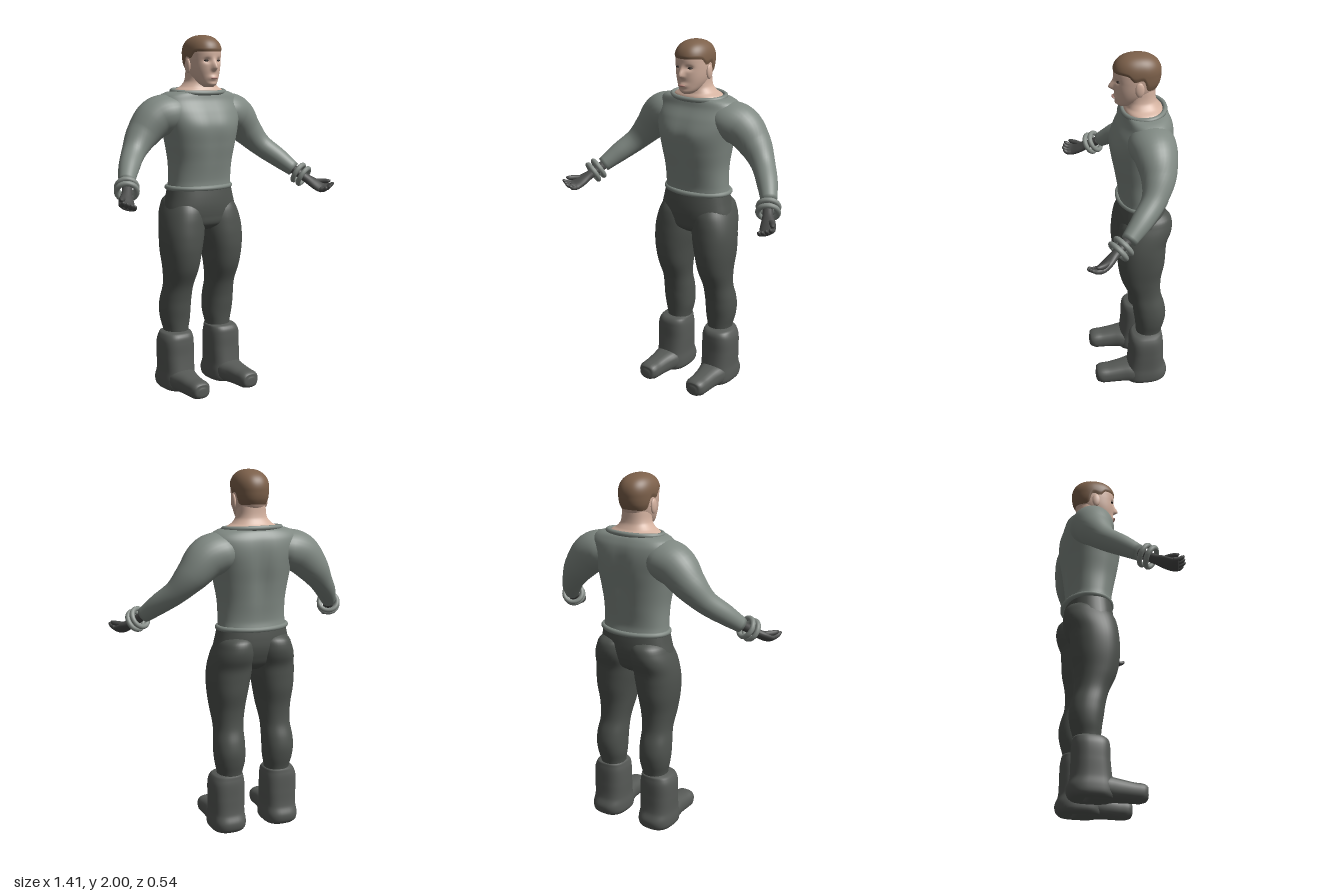
import * as THREE from 'three';

const mat = (name, color) => Object.assign(new THREE.MeshStandardMaterial({ color }), { name });
const V3 = (x, y, z) => new THREE.Vector3(x, y, z);
const bump = (d, w) => Math.exp(-((d / w) ** 2));

// Smooth lookup in a table whose first column is the key
function at(rows, k) {
  const n = rows.length - 1;
  k = Math.min(Math.max(k, rows[0][0]), rows[n][0]);
  let i = 0;
  while (i < n - 1 && k > rows[i + 1][0]) i++;
  const slope = (j, c) => {
    const a = rows[Math.max(j - 1, 0)], b = rows[Math.min(j + 1, n)];
    return (b[c] - a[c]) / (b[0] - a[0]);
  };
  const p = rows[i], q = rows[i + 1], h = q[0] - p[0], t = (k - p[0]) / h;
  return p.map((_, c) => c === 0 ? k :
    p[c] * (2 * t ** 3 - 3 * t * t + 1) + q[c] * (3 * t * t - 2 * t ** 3) +
    h * (slope(i, c) * (t ** 3 - 2 * t * t + t) + slope(i + 1, c) * (t ** 3 - t * t)));
}

// Closed skin from rings: fn(angle, v) gives a point; both ends are capped
function skinGeo(fn, seg, steps) {
  const pos = [], idx = [];
  const ends = [V3(0, 0, 0), V3(0, 0, 0)];
  for (let j = 0; j <= steps; j++) for (let i = 0; i < seg; i++) {
    const p = fn(i / seg * Math.PI * 2, j / steps);
    pos.push(p.x, p.y, p.z);
    if (j === 0) ends[0].addScaledVector(p, 1 / seg);
    if (j === steps) ends[1].addScaledVector(p, 1 / seg);
  }
  const c0 = seg * (steps + 1), top = seg * steps;
  ends.forEach(e => pos.push(e.x, e.y, e.z));
  for (let i = 0; i < seg; i++) {
    const k = (i + 1) % seg;
    for (let j = 0; j < steps; j++) {
      const a = j * seg + i, b = j * seg + k;
      idx.push(a, a + seg, b, b, a + seg, b + seg);
    }
    idx.push(c0, i, k, c0 + 1, top + k, top + i);
  }
  const g = new THREE.BufferGeometry();
  g.setAttribute('position', new THREE.Float32BufferAttribute(pos, 3));
  g.setIndex(idx);
  g.computeVertexNormals();
  return g;
}

const pw = (c, n) => Math.sign(c) * Math.abs(c) ** (2 / n);

// Upright body from rows [y, centre x, half width, front z, back z]
function upright(rows, { n = 2.3, seg = 40, steps = 40, tweak } = {}) {
  const y0 = rows[0][0], y1 = rows[rows.length - 1][0];
  return skinGeo((a, v) => {
    const [y, cx, hw, f, b] = at(rows, y0 + (y1 - y0) * v);
    const p = V3(cx + hw * pw(Math.cos(a), n), y, (f + b) / 2 + (f - b) / 2 * pw(Math.sin(a), n));
    if (tweak) tweak(p);
    return p;
  }, seg, steps);
}

// Limb along a path of stations [x, y, z, radius along ref, other radius]
function sweep(st, ref, { n = 2, seg = 24, steps = 24, tweak } = {}) {
  const curve = new THREE.CatmullRomCurve3(st.map(s => V3(s[0], s[1], s[2])));
  const radii = st.map((s, i) => [i, s[3], s[4]]);
  return skinGeo((a, v) => {
    const t = curve.getTangent(v), u = ref.clone().addScaledVector(t, -ref.dot(t)).normalize();
    const w = u.clone().cross(t), [, ra, rb] = at(radii, v * (st.length - 1));
    const p = curve.getPoint(v).addScaledVector(u, ra * pw(Math.cos(a), n)).addScaledVector(w, rb * pw(Math.sin(a), n));
    if (tweak) tweak(p);
    return p;
  }, seg, steps);
}

// Oval rolled edge lying round the body
function roll(y, z, rx, rz, tilt, tube) {
  const pts = [];
  for (let i = 0; i < 24; i++) {
    const a = i / 24 * Math.PI * 2;
    pts.push(V3(rx * Math.cos(a), y - tilt * Math.sin(a), z + rz * Math.sin(a)));
  }
  return new THREE.TubeGeometry(new THREE.CatmullRomCurve3(pts, true), 72, tube, 10, true);
}

function mirrored(geo) {
  const g = geo.clone().scale(-1, 1, 1), ix = g.index.array;
  for (let i = 0; i < ix.length; i += 3) [ix[i], ix[i + 1]] = [ix[i + 1], ix[i]];
  return g;
}

// Head surface with face relief
const HEAD = [[1.718, .025, .02, -.05], [1.735, .048, .034, -.09], [1.77, .07, .038, -.145],
  [1.81, .083, .043, -.178], [1.86, .09, .045, -.195], [1.9, .092, .047, -.2]];
function headPoint(a, y, grow, height) {
  const [, hw, f, b] = at(HEAD, y);
  const k = y > 1.9 ? Math.max(0, 1 - ((y - 1.9) / height) ** 2.3) ** (1 / 2.3) : 1;
  const s = Math.sin(a), x = (hw + grow) * k * pw(Math.cos(a), 2.2);
  const p = V3(x, y, -.072 + ((f + b) / 2 + .072 + ((f - b) / 2 + grow) * pw(s, 2.2)) * k);
  if (s > 0) {
    p.z += .03 * bump(x, .014) * bump(y - 1.822, y > 1.822 ? .035 : .014)
      + .012 * bump(x, .028) * bump(y - 1.767, .014)
      + .006 * bump(x, .03) * bump(y - 1.732, .012)
      - .012 * bump(Math.abs(x) - .038, .018) * bump(y - 1.862, .014);
  }
  return p;
}
const HAIRLINE = [[-.21, 1.81], [-.13, 1.812], [-.1, 1.872], [-.05, 1.868], [-.02, 1.9], [.06, 1.905]];

export function createModel() {
  const root = new THREE.Group();
  const sweaterM = mat('sweater grey', 0x808983), trouserM = mat('trouser charcoal', 0x4e524e);
  const bootM = mat('boot grey', 0x575a57), gloveM = mat('glove dark grey', 0x4a4b4a);
  const cuffM = mat('cuff grey', 0x868d88), skinM = mat('skin', 0xd4b2a0);
  const hairM = mat('hair brown', 0x7d614b), eyeM = mat('eye dark', 0x2c2522), lipM = mat('lip pink', 0xb98a80);
  const add = (name, geo, m) => {
    const mesh = new THREE.Mesh(geo, m);
    mesh.name = name;
    root.add(mesh);
  };
  const pair = (name, geo, m) => {
    add(name + 'Left', geo, m);
    add(name + 'Right', mirrored(geo), m);
  };
  const ball = (x, y, z, sx, sy, sz) => new THREE.SphereGeometry(1, 20, 14).scale(sx, sy, sz).translate(x, y, z);

  // Head, hair and face
  add('head', skinGeo((a, v) => headPoint(a, 1.718 + .276 * v, 0, .094), 96, 70), skinM);
  add('hair', skinGeo((a, v) => {
    const low = at(HAIRLINE, headPoint(a, 1.88, 0, .1).z)[1];
    return headPoint(a, low + (2 - low) * Math.sin(v * Math.PI / 2), -.002 + .007 * Math.min(1, v * 8), .1);
  }, 96, 36), hairM);
  add('neck', upright([[1.68, 0, .145, -.005, -.215], [1.7, 0, .138, -.01, -.212], [1.718, 0, .108, -.02, -.195],
    [1.75, 0, .083, -.025, -.178], [1.82, 0, .076, -.02, -.172]]), skinM);
  pair('ear', ball(.093, 1.833, -.078, .011, .04, .024).rotateX(0), skinM);
  pair('eye', ball(.038, 1.862, .024, .014, .006, .012), eyeM);
  add('lips', ball(0, 1.767, .048, .024, .006, .008), lipM);

  // Sweater
  add('sweaterBody', upright([[1.15, 0, .193, .022, -.235], [1.2, 0, .189, .022, -.226], [1.3, 0, .19, .04, -.236],
    [1.4, 0, .206, .06, -.25], [1.5, 0, .226, .07, -.266], [1.58, 0, .25, .04, -.268], [1.64, 0, .25, .005, -.258],
    [1.675, 0, .225, -.005, -.24], [1.692, 0, .18, -.01, -.225], [1.698, 0, .14, -.02, -.21]], {
    seg: 56, steps: 56,
    tweak: p => {
      const s = bump(p.x, .045) * bump(p.y - 1.45, .16);
      if (p.z < -.11) p.z += .018 * s;
      else p.z -= .008 * s;
    },
  }), sweaterM);
  add('collar', roll(1.692, -.113, .16, .112, .008, .013), sweaterM);
  add('hem', roll(1.158, -.11, .196, .134, 0, .014), sweaterM);
  pair('sleeve', sweep([[.1, 1.57, -.12, .09, .1], [.19, 1.572, -.125, .108, .125], [.27, 1.545, -.135, .112, .115],
    [.355, 1.46, -.135, .09, .092], [.43, 1.373, -.1, .066, .066], [.505, 1.298, -.025, .056, .056],
    [.565, 1.23, .05, .042, .042]], V3(0, 1, 0), { seg: 32, steps: 36 }), sweaterM);

  // Cuff rings
  const dir = V3(.42, -.5, .75).normalize();
  [-.019, .019].forEach((d, i) => {
    const g = new THREE.TorusGeometry(.053, .014, 10, 32);
    g.applyQuaternion(new THREE.Quaternion().setFromUnitVectors(V3(0, 0, 1), dir));
    pair('cuffRing' + (i + 1), g.translate(.587 + dir.x * d, 1.202 + dir.y * d, .092 + dir.z * d), cuffM);
  });

  // Gloved hands
  const across = V3(.9, .35, -.4).normalize();
  pair('hand', sweep([[.56, 1.23, .055, .028, .025], [.605, 1.18, .125, .029, .023], [.632, 1.152, .165, .041, .023],
    [.653, 1.131, .205, .044, .02], [.662, 1.129, .235, .04, .014]], across), gloveM);
  [-.033, -.011, .011, .033].forEach((k, i) => {
    const b = V3(.655, 1.132, .21).addScaledVector(across, k), l = i === 0 ? .75 : 1;
    pair('finger' + (i + 1), sweep([[b.x, b.y, b.z, .013, .014], [b.x + .008 * l, b.y + .002, b.z + .03 * l, .012, .012],
      [b.x + .014 * l, b.y + .014, b.z + .05 * l, .01, .009], [b.x + .016 * l, b.y + .02, b.z + .056 * l, .004, .004]],
    across, { seg: 10, steps: 10 }), gloveM);
  });
  pair('thumb', sweep([[.632, 1.162, .15, .016, .016], [.67, 1.165, .185, .015, .015], [.69, 1.168, .215, .012, .012],
    [.697, 1.172, .228, .004, .004]], across, { seg: 12, steps: 12 }), gloveM);

  // Trousers
  add('hips', upright([[.92, 0, .12, -.02, -.16], [.95, 0, .19, .02, -.2], [1, 0, .225, .03, -.225],
    [1.05, 0, .218, .033, -.238], [1.1, 0, .206, .03, -.238], [1.16, 0, .193, .022, -.232]]), trouserM);
  pair('leg', upright([[.3, .145, .066, -.06, -.2], [.34, .145, .07, -.06, -.206], [.4, .146, .083, -.055, -.222],
    [.46, .148, .087, -.046, -.23], [.52, .147, .086, -.038, -.222], [.6, .143, .082, -.018, -.2],
    [.7, .14, .095, .025, -.2], [.8, .138, .11, .044, -.218], [.88, .132, .12, .046, -.224], [.94, .126, .122, .042, -.23],
    [1, .119, .117, .035, -.254], [1.05, .113, .105, .02, -.26], [1.1, .108, .083, -.02, -.24],
    [1.13, .105, .03, -.08, -.17]], { n: 2.2, steps: 60 }), trouserM);

  // Boots
  pair('bootShaft', upright([[.005, .16, .085, .0, -.215], [.02, .16, .097, .005, -.232], [.06, .16, .1, .005, -.24],
    [.11, .16, .096, -.005, -.222], [.2, .16, .098, -.015, -.217], [.28, .16, .097, -.018, -.215],
    [.315, .157, .088, -.025, -.21], [.335, .152, .074, -.05, -.203], [.338, .15, .05, -.08, -.18]], { n: 2.7 }), bootM);
  pair('bootFoot', sweep([[.162, .06, -.15, .08, .06], [.163, .062, -.04, .085, .064], [.166, .058, .03, .07, .058],
    [.168, .052, .1, .063, .052], [.168, .05, .15, .06, .05], [.168, .046, .175, .046, .038], [.168, .046, .182, .02, .018]],
  V3(1, 0, 0), { n: 2.5, tweak: p => { p.y = Math.max(p.y, 0); } }), bootM);

  return root;
}
